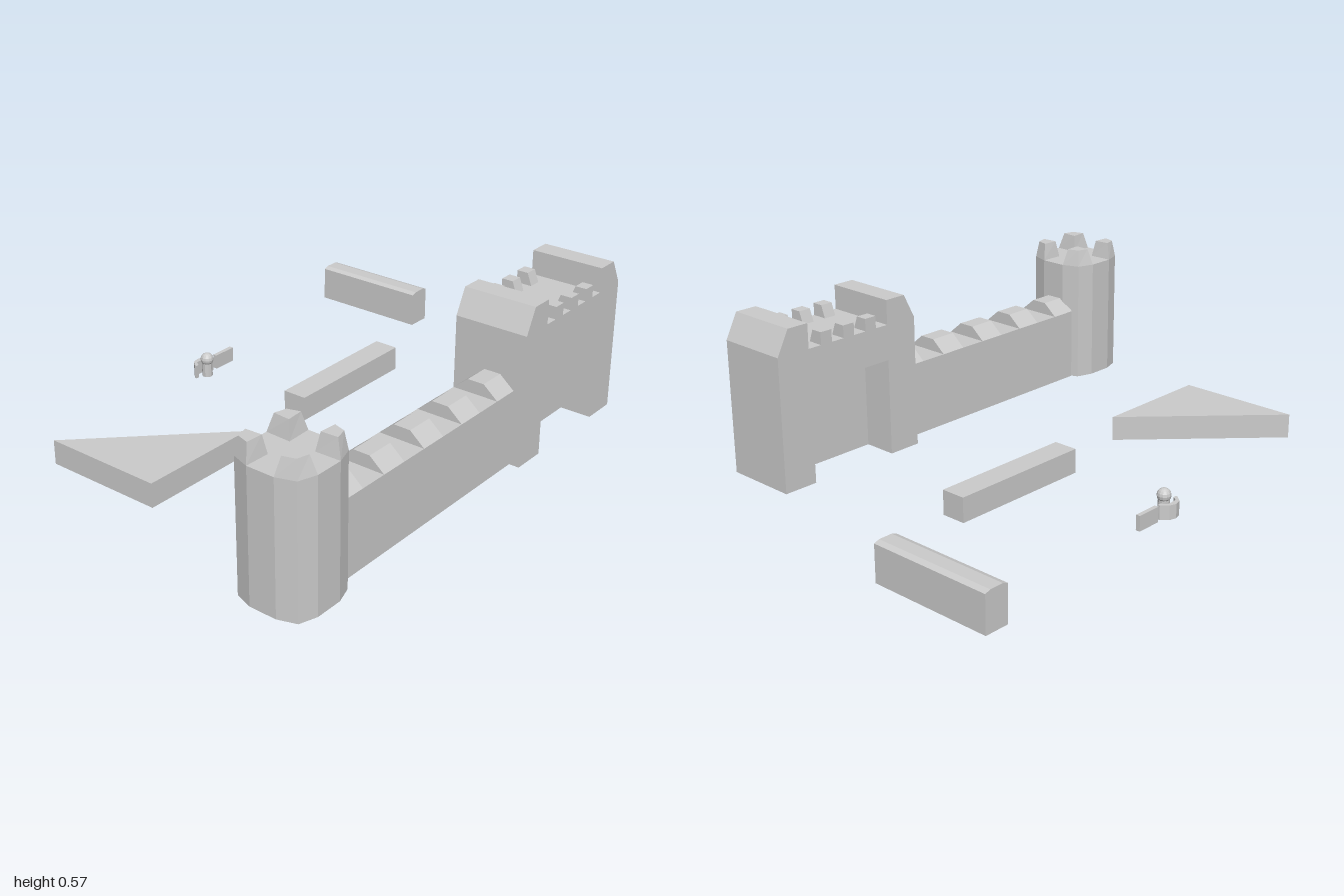
import * as THREE from 'three';

const mat = new THREE.MeshStandardMaterial({ color: 0xcccccc, flatShading: true });
const openMat = new THREE.MeshStandardMaterial({ color: 0xcccccc, flatShading: true, side: THREE.DoubleSide });

const rect = (x0, x1, z0, z1) => [[x0, z0], [x0, z1], [x1, z1], [x1, z0]];

// Solid between two matching convex [x, z] outlines at heights y0 and y1
function prism(low, high, y0, y1, closed = true) {
  let area = 0;
  low.forEach(([x, z], i) => {
    const [nx, nz] = low[(i + 1) % low.length];
    area += x * nz - nx * z;
  });
  const order = (pts, y) => {
    const out = pts.map(([x, z]) => [x, y, z]);
    return area > 0 ? out.reverse() : out;
  };
  const a = order(low, y0), b = order(high, y1), n = a.length, pos = [];
  const tri = (...p) => p.forEach((v) => pos.push(...v));
  for (let i = 0; i < n; i++) {
    const j = (i + 1) % n;
    tri(a[i], a[j], b[j]);
    tri(a[i], b[j], b[i]);
    if (i > 0 && i < n - 1) {
      tri(b[0], b[i], b[j]);
      if (closed) tri(a[0], a[j], a[i]);
    }
  }
  const g = new THREE.BufferGeometry();
  g.setAttribute('position', new THREE.Float32BufferAttribute(pos, 3));
  g.computeVertexNormals();
  return g;
}

function extrude(points, depth) {
  const shape = new THREE.Shape(points.map(([x, y]) => new THREE.Vector2(x, y)));
  return new THREE.ExtrudeGeometry(shape, { depth, bevelEnabled: false });
}

function add(parent, name, geometry, material = mat) {
  const mesh = new THREE.Mesh(geometry, material);
  mesh.name = name;
  parent.add(mesh);
  return mesh;
}

function group(parent, name) {
  const g = new THREE.Group();
  g.name = name;
  parent.add(g);
  return g;
}

function buildTower(root) {
  const tower = group(root, 'cornerTower');
  tower.position.set(-0.865, 0, 0.586);
  // Twelve-sided body with bulging sides
  const corner = [[0.135, 0.05], [0.113, 0.115], [0.05, 0.136]];
  const outline = [];
  for (const [sx, sz] of [[1, 1], [-1, 1], [-1, -1], [1, -1]]) {
    const pts = corner.map(([x, z]) => [x * sx, z * sz]);
    outline.push(...(sx * sz > 0 ? pts : pts.reverse()));
  }
  add(tower, 'towerBody', prism(outline, outline, 0, 0.465));
  // Tapered merlon on each corner
  const low = [...corner, [0.047, 0.047]];
  const high = [[0.117, 0.062], [0.104, 0.105], [0.062, 0.117], [0.058, 0.058]];
  for (const sx of [-1, 1]) for (const sz of [-1, 1]) {
    const flip = (pts) => pts.map(([x, z]) => [x * sx, z * sz]);
    add(tower, 'towerMerlon', prism(flip(low), flip(high), 0.465, 0.528));
  }
}

function buildWall(root) {
  const wall = group(root, 'curtainWall');
  const body = rect(-0.74, 0.18, 0.495, 0.667);
  add(wall, 'wallBody', prism(body, body, 0, 0.277, false), openMat);
  // Merlons sloping to the front and back
  for (let i = 0; i < 5; i++) {
    const x = -0.741 + i * 0.205, x1 = Math.min(x + 0.102, 0.18);
    add(wall, 'wallMerlon', prism(rect(x, x1, 0.495, 0.667), rect(x, x1, 0.55, 0.612), 0.277, 0.323));
  }
}

function buildGatehouse(root) {
  const gate = group(root, 'gatehouse');
  const profile = [
    [0.178, 0], [0.305, 0], [0.305, 0.355], [0.653, 0.355], [0.653, 0], [0.782, 0],
    [0.782, 0.485], [0.735, 0.575], [0.653, 0.575], [0.653, 0.485],
    [0.305, 0.485], [0.305, 0.575], [0.223, 0.575], [0.178, 0.485],
  ];
  add(gate, 'gateBody', extrude(profile, 0.275)).position.z = 0.43;
  // Recessed door, set back on both faces
  add(gate, 'gateDoor', new THREE.BoxGeometry(0.348, 0.355, 0.03)).position.set(0.479, 0.1775, 0.572);
  // Parapet merlons with sloped inner faces
  for (let i = 0; i < 3; i++) {
    const x = 0.357 + i * 0.098, x1 = x + 0.047;
    add(gate, 'backMerlon', prism(rect(x, x1, 0.43, 0.489), rect(x, x1, 0.43, 0.472), 0.485, 0.53));
    add(gate, 'frontMerlon', prism(rect(x, x1, 0.646, 0.705), rect(x, x1, 0.663, 0.705), 0.485, 0.53));
  }
}

function buildLoosePieces(root) {
  const plank = rect(-0.012, 0.535, -0.167, -0.075);
  add(root, 'looseBlock', prism(plank, plank, 0, 0.09, false), openMat);

  const wedge = [[-0.785, -0.53], [-0.785, -0.07], [-0.328, -0.07]];
  add(root, 'triangularBlock', prism(wedge, wedge, 0, 0.09));

  // Long beam with a slightly chamfered top
  const beam = group(root, 'longBeam');
  const base = rect(0.91, 1, -0.725, -0.267);
  add(beam, 'beamBody', prism(base, base, 0, 0.131, false), openMat);
  add(beam, 'beamTop', prism(base, rect(0.93, 0.98, -0.725, -0.267), 0.131, 0.138));

  // Small ball-topped post behind a curved screen
  const post = group(root, 'ballPost');
  post.position.set(0.042, 0, -0.598);
  add(post, 'postStem', new THREE.CylinderGeometry(0.02, 0.02, 0.06, 10)).position.y = 0.03;
  add(post, 'postBall', new THREE.SphereGeometry(0.025, 12, 8)).position.y = 0.068;
  const arc = [
    [-0.047, 0.012], [-0.047, 0.02], [-0.026, 0.044], [0, 0.052], [0.026, 0.044], [0.047, 0.02],
    [0.047, 0.012], [0.035, 0.012], [0.021, 0.032], [-0.021, 0.032], [-0.035, 0.012],
  ];
  add(post, 'curvedScreen', extrude(arc, 0.052).rotateX(-Math.PI / 2));

  add(root, 'smallPanel', new THREE.BoxGeometry(0.094, 0.055, 0.016)).position.set(0.152, 0.0275, -0.617);
}

export function createModel() {
  const root = new THREE.Group();
  root.name = 'castlePlayset';
  buildTower(root);
  buildWall(root);
  buildGatehouse(root);
  buildLoosePieces(root);
  return root;
}
